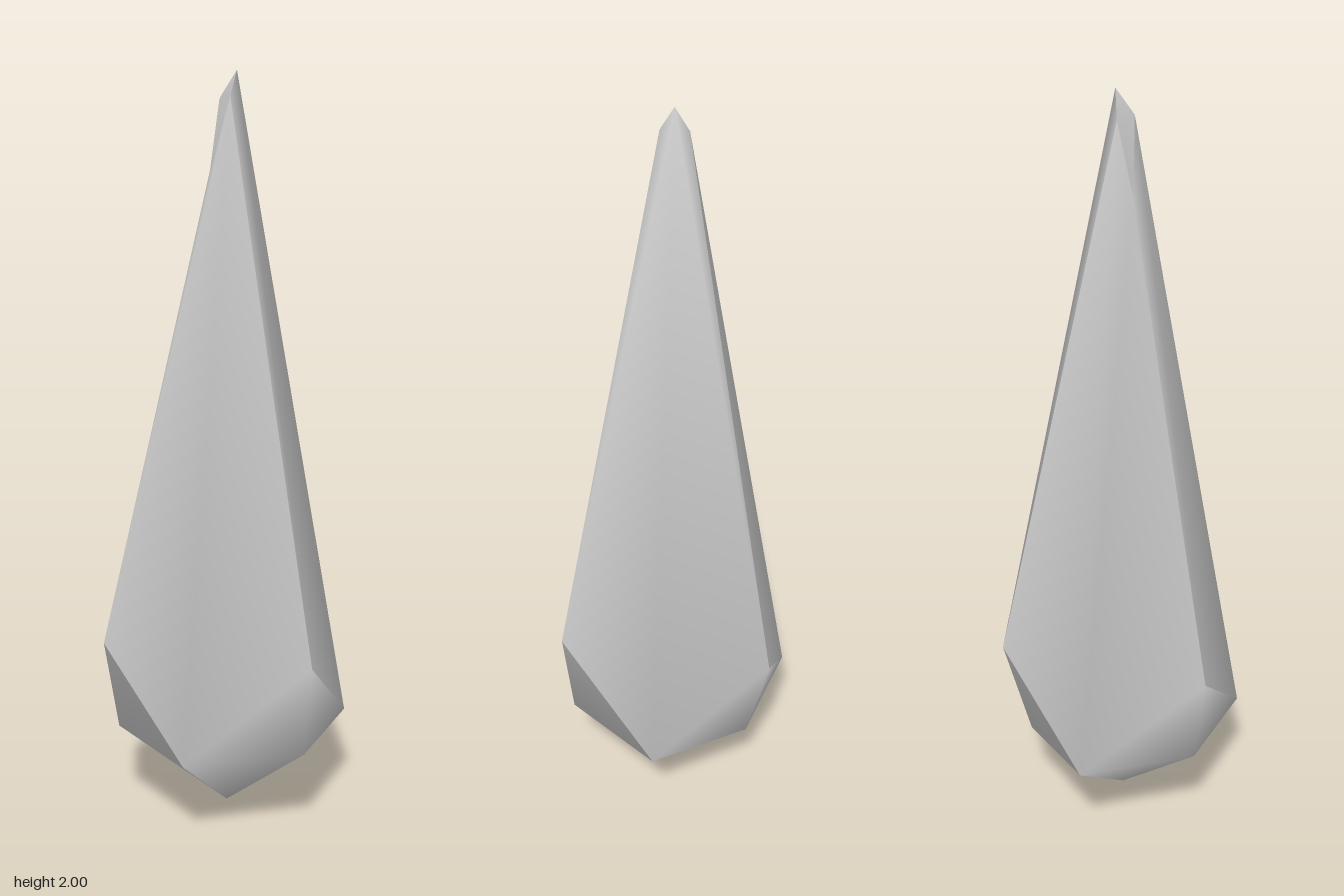
import * as THREE from 'three';

const polar = (deg, r, y) => {
  const a = THREE.MathUtils.degToRad(deg);
  return new THREE.Vector3(r * Math.sin(a), y, r * Math.cos(a));
};

// A mesh whose shared corners are smooth, each face weighted by its corner angle
function smoothMesh(name, points, triangles) {
  const normals = points.map(() => new THREE.Vector3());
  for (const tri of triangles) {
    const corners = tri.map((i) => points[i]);
    const face = new THREE.Triangle(...corners).getNormal(new THREE.Vector3());
    tri.forEach((i, c) => {
      const p = corners[c];
      const toNext = corners[(c + 1) % 3].clone().sub(p);
      const toLast = corners[(c + 2) % 3].clone().sub(p);
      normals[i].addScaledVector(face, toNext.angleTo(toLast));
    });
  }
  const geometry = new THREE.BufferGeometry().setFromPoints(points);
  const flat = normals.flatMap((n) => n.normalize().toArray());
  geometry.setAttribute('normal', new THREE.Float32BufferAttribute(flat, 3));
  geometry.setIndex(triangles.flat());
  const mesh = new THREE.Mesh(geometry, new THREE.MeshStandardMaterial({ color: 0xcccccc }));
  mesh.name = name;
  return mesh;
}

export function createModel() {
  const model = new THREE.Group();
  model.name = 'crystalShard';

  // Girdle: three high and three low corners in turn around the axis
  const high = [0, 120, 240].map((deg) => polar(deg, 0.34, 0.49));
  const low = [60, 180, 300].map((deg) => polar(deg, 0.34, 0.247));

  // Bulge in the middle of the kite below each high corner
  const bulge = [polar(0, 0.313, 0.244), polar(120, 0.266, 0.218), polar(240, 0.302, 0.247)];
  const base = new THREE.Vector3(0, 0, 0);

  // Chipped point
  const tip = [
    new THREE.Vector3(-0.018, 1.935, 0.035), // front
    new THREE.Vector3(0.024, 2, 0.012), // summit
    new THREE.Vector3(0.004, 1.93, -0.033), // back
    new THREE.Vector3(-0.035, 1.75, -0.025), // side notch
  ];

  // Long faces. Corners: 0 high, 1 low, 2 next high, 3 next low, 4 bulge, 5 base, 6-9 tip
  const longFaces = [
    [[0, 1, 7], [0, 7, 6], [1, 2, 7], [2, 8, 7]],
    [[0, 1, 8], [1, 9, 8], [1, 2, 9]],
    [[0, 1, 6], [0, 6, 9], [1, 2, 6]],
  ];
  const kite = [[5, 3, 4], [3, 2, 4], [2, 1, 4], [1, 5, 4]];

  // Each long face runs smoothly into the kite on one side
  longFaces.forEach((faces, k) => {
    const n = (k + 1) % 3;
    const points = [high[k], low[k], high[n], low[n], bulge[n], base, ...tip];
    model.add(smoothMesh('crystalSide' + (k + 1), points, [...faces, ...kite]));
  });

  // Chip closing the top
  model.add(smoothMesh('tipChip', tip, [[0, 1, 2], [0, 2, 3]]));
  return model;
}
